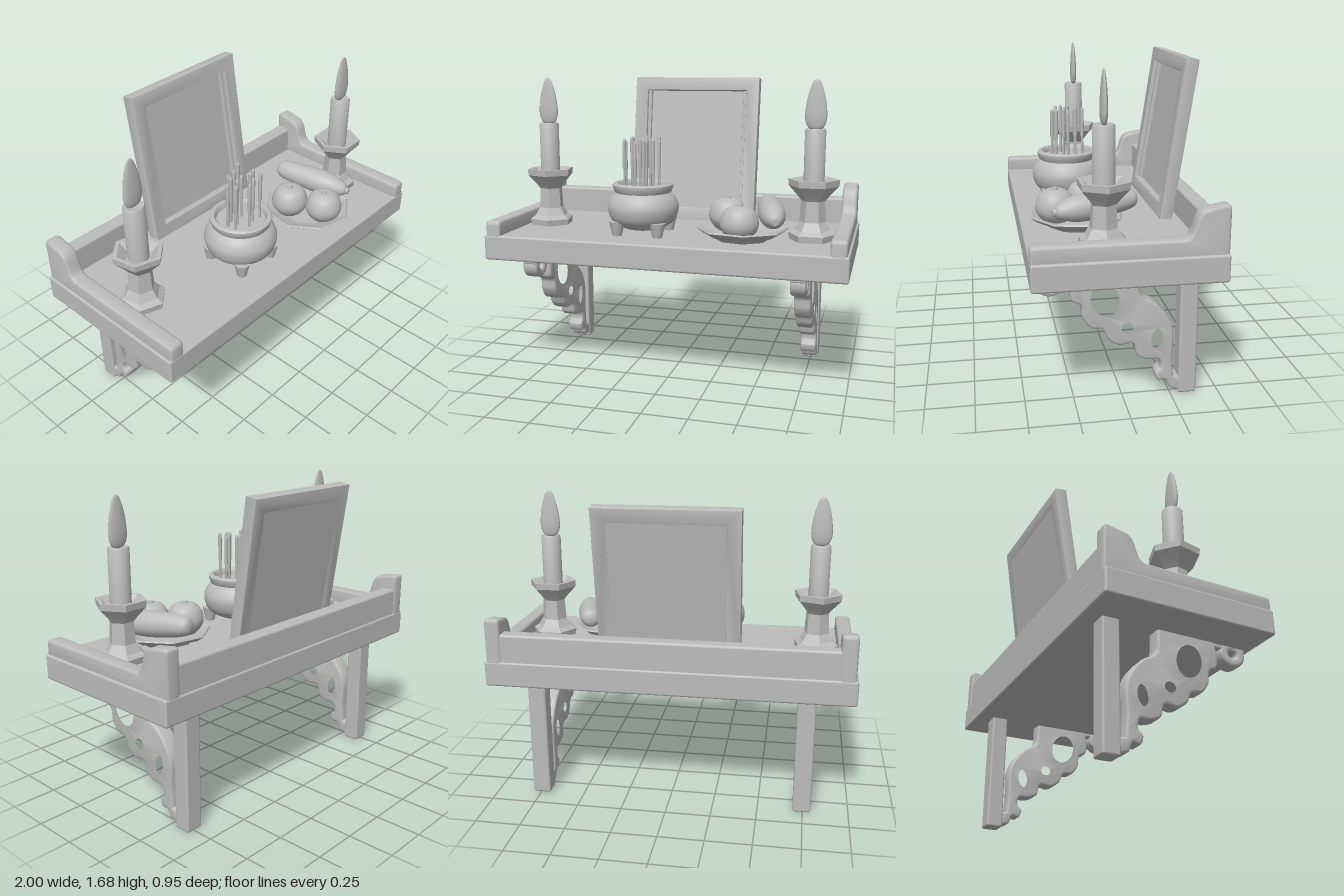
import * as THREE from 'three';
import { toCreasedNormals } from 'three/addons/utils/BufferGeometryUtils.js';
import { RoundedBoxGeometry } from 'three/addons/geometries/RoundedBoxGeometry.js';

const gray = new THREE.MeshStandardMaterial({ color: 0xbcbcbc });
gray.name = 'plain gray';

const V2 = ([x, y]) => new THREE.Vector2(x, y);

function add(parent, name, geo, x = 0, y = 0, z = 0) {
  const m = new THREE.Mesh(geo, gray);
  m.name = name;
  m.position.set(x, y, z);
  parent.add(m);
  return m;
}

function group(parent, name, x = 0, y = 0, z = 0) {
  const g = new THREE.Group();
  g.name = name;
  g.position.set(x, y, z);
  parent.add(g);
  return g;
}

const box = (w, h, d, r = 0.012) => new RoundedBoxGeometry(w, h, d, 2, r);
const lathe = (pts, seg = 32) => new THREE.LatheGeometry(pts.map(V2), seg);
const creased = (geo, a = 0.6) => toCreasedNormals(geo, a);
const smoothLathe = (pts, seg = 32) =>
  new THREE.LatheGeometry(new THREE.SplineCurve(pts.map(V2)).getPoints(30)
    .map(p => new THREE.Vector2(Math.max(p.x, 0), p.y)), seg);

// Extrudes a (z, y) outline along x, centred on x = 0, with softened edges
function sideExtrude(shape, width, bevel) {
  const g = new THREE.ExtrudeGeometry(shape, {
    depth: width - 2 * bevel, bevelEnabled: true, bevelThickness: bevel,
    bevelSize: bevel, bevelOffset: -bevel, bevelSegments: 3, curveSegments: 20 });
  g.translate(0, 0, -(width - 2 * bevel) / 2);
  g.rotateY(-Math.PI / 2);
  return creased(g, 0.7);
}

function ellipse(x, y, rx, ry, rot = 0) {
  return new THREE.Path().absellipse(x, y, rx, ry, 0, Math.PI * 2, true, rot);
}

function ring(w, h, border, depth) {
  const s = new THREE.Shape([[-w, 0], [w, 0], [w, h], [-w, h]].map(V2));
  const a = w - border, b = h - border;
  s.holes.push(new THREE.Path([[-a, border], [-a, b], [a, b], [a, border]].map(V2)));
  return creased(new THREE.ExtrudeGeometry(s, { depth: depth - 0.012, bevelEnabled: true,
    bevelThickness: 0.006, bevelSize: 0.006, bevelOffset: -0.006, bevelSegments: 2 }));
}

function addShelf(root) {
  const shelf = group(root, 'shelf');
  add(shelf, 'shelfBoard', box(2, 0.14, 0.95), 0, 0.75, 0);
  add(shelf, 'backRail', box(1.9, 0.18, 0.085, 0.015), 0, 0.885, -0.425);
  const s = new THREE.Shape();
  s.moveTo(0.473, 0.8);
  s.lineTo(0.473, 0.88);
  s.quadraticCurveTo(0.47, 0.9, 0.45, 0.9);
  s.lineTo(-0.25, 0.9);
  s.bezierCurveTo(-0.32, 0.91, -0.28, 1.04, -0.37, 1.045);
  s.lineTo(-0.45, 1.06);
  s.quadraticCurveTo(-0.473, 1.06, -0.473, 1.04);
  s.lineTo(-0.473, 0.8);
  const geo = sideExtrude(s, 0.085, 0.015);
  for (const side of [-1, 1]) add(shelf, 'sideRail', geo, side * 0.945, 0, 0);
}

function addBrackets(root) {
  // Pierced scroll with a scalloped lower edge
  const edge = [[0.265, 0.64], [0.262, 0.55], [0.215, 0.515], [0.205, 0.45], [0.165, 0.395],
    [0.105, 0.38], [0.075, 0.325], [0.02, 0.29], [-0.05, 0.292], [-0.075, 0.225], [-0.13, 0.2],
    [-0.185, 0.195], [-0.195, 0.15], [-0.17, 0.12], [-0.185, 0.075], [-0.225, 0.075],
    [-0.25, 0.03], [-0.31, 0.012]];
  const s = new THREE.Shape();
  s.moveTo(0.25, 0.7);
  s.lineTo(...edge[0]);
  s.splineThru(edge.slice(1).map(V2));
  s.lineTo(-0.31, 0.09);
  s.lineTo(-0.265, 0.1);
  s.splineThru([[-0.258, 0.2], [-0.26, 0.34], [-0.235, 0.42], [-0.17, 0.5], [-0.095, 0.55],
    [-0.08, 0.62]].map(V2));
  s.lineTo(-0.08, 0.7);
  s.holes.push(ellipse(0.094, 0.545, 0.085, 0.105, -0.3), ellipse(-0.02, 0.385, 0.045, 0.042),
    ellipse(-0.172, 0.316, 0.042, 0.068, 0.15));
  const scroll = sideExtrude(s, 0.09, 0.014);
  // Small curl at the front
  const c = new THREE.Shape().absellipse(0.365, 0.645, 0.075, 0.07, 0, Math.PI * 2);
  c.holes.push(ellipse(0.365, 0.643, 0.024, 0.022));
  const curl = sideExtrude(c, 0.085, 0.014);
  for (const side of [-1, 1]) {
    const b = group(root, 'bracket', side * 0.745);
    add(b, 'post', box(0.1, 0.7, 0.095), 0, 0.35, -0.337);
    add(b, 'scroll', scroll);
    add(b, 'curl', curl);
    add(b, 'curlLink', box(0.08, 0.05, 0.19, 0.01), 0, 0.684, 0.345);
  }
}

function addFrame(root) {
  const f = group(root, 'pictureFrame', 0, 0.818, -0.272);
  f.rotation.x = -0.148;
  add(f, 'frameBorder', ring(0.385, 0.87, 0.078, 0.07), 0, 0, -0.064);
  add(f, 'innerLip', ring(0.315, 0.8, 0.028, 0.04), 0, 0.035, -0.056);
  add(f, 'backPanel', new THREE.BoxGeometry(0.74, 0.84, 0.025), 0, 0.435, -0.055);
}

function addCandle(root, x, z, turn) {
  const c = group(root, 'candlestick', x, 0.82, z);
  const holder = lathe([[0, 0], [0.125, 0], [0.13, 0.035], [0.1, 0.055], [0.072, 0.1],
    [0.065, 0.215], [0.085, 0.24], [0.135, 0.295], [0.138, 0.33], [0.115, 0.33],
    [0.07, 0.29], [0, 0.285]], 6);
  add(c, 'holder', creased(holder, 0.3)).rotation.y = turn;
  add(c, 'candle', creased(lathe([[0, 0.27], [0.056, 0.27], [0.056, 0.59], [0.05, 0.6],
    [0.035, 0.598], [0, 0.59]], 24)));
  const flame = smoothLathe([[0, 0.59], [0.04, 0.605], [0.058, 0.66], [0.047, 0.76],
    [0.022, 0.84], [0, 0.86]], 16);
  flame.scale(1, 1, 0.32);
  add(c, 'flame', flame);
}

function addCenser(root) {
  const g = group(root, 'incenseBurner', -0.165, 0, 0.165);
  add(g, 'bowl', smoothLathe([[0, 0.84], [0.1, 0.85], [0.175, 0.895], [0.2, 0.965],
    [0.185, 1.02], [0.155, 1.055]], 36));
  add(g, 'rim', creased(lathe([[0.152, 1.05], [0.162, 1.062], [0.165, 1.075], [0.17, 1.085],
    [0.17, 1.098], [0.16, 1.106], [0.145, 1.106], [0.136, 1.095], [0.133, 1.075], [0, 1.08]], 36)));
  for (let i = 0; i < 4; i++) {
    const a = Math.PI / 4 + i * Math.PI / 2;
    const foot = add(g, 'foot', creased(new THREE.CylinderGeometry(0.045, 0.026, 0.08, 12)),
      Math.sin(a) * 0.165, 0.86, Math.cos(a) * 0.165);
    foot.rotation.y = a;
  }
  const spots = [[-0.1, 0], [-0.092, 0.05], [-0.055, 0.025], [-0.035, -0.055], [0.005, -0.055],
    [0.015, -0.01], [0.025, 0.065], [0.07, -0.085], [0.095, 0], [0.08, 0.065], [-0.02, 0.08],
    [0.05, 0.02], [-0.06, -0.015]];
  const stick = lathe([[0, 0], [0.007, 0], [0.007, 0.11], [0.0105, 0.12], [0.0105, 0.265],
    [0.006, 0.28], [0, 0.282]], 8);
  spots.forEach(([x, z], i) => add(g, 'incenseStick', stick, x, 1.06 + (i * 7 % 5) * 0.005, z));
}

function addFruitPlate(root) {
  const g = group(root, 'fruitPlate', 0.405, 0.82, 0.18);
  add(g, 'plate', creased(lathe([[0, 0], [0.15, 0], [0.165, 0.015], [0.215, 0.032], [0.255, 0.06],
    [0.25, 0.068], [0.205, 0.048], [0.15, 0.03], [0, 0.028]], 8), 0.3)).rotation.y = 0.2;
  const round = smoothLathe([[0, 0.015], [0.05, 0.012], [0.095, 0.06], [0.103, 0.11],
    [0.08, 0.165], [0.035, 0.19], [0, 0.18]], 28);
  for (const [x, z, h] of [[-0.093, -0.06, 0.022], [0.005, 0.115, 0.01]]) {
    add(g, 'roundFruit', round, x, h, z);
    add(g, 'fruitStem', new THREE.CylinderGeometry(0.014, 0.02, 0.02, 6), x, h + 0.188, z);
  }
  // Long fruit leaning across the plate
  const long = group(g, 'longFruit', 0.087, 0.162, -0.298);
  long.rotation.set(Math.PI / 2 + 0.08, 0, -0.25);
  add(long, 'longFruitBody', smoothLathe([[0, 0], [0.04, 0.012], [0.058, 0.06], [0.066, 0.15],
    [0.073, 0.26], [0.066, 0.35], [0.042, 0.42], [0.025, 0.445], [0, 0.45]], 24));
  add(long, 'longFruitStem', new THREE.CylinderGeometry(0.018, 0.022, 0.025, 8), 0, 0.45, 0);
}

export function createModel() {
  const root = new THREE.Group();
  root.name = 'altarShelf';
  addShelf(root);
  addBrackets(root);
  addFrame(root);
  addCandle(root, -0.783, 0.04, 0.2);
  addCandle(root, 0.775, 0.1, 0.55);
  addCenser(root);
  addFruitPlate(root);
  return root;
}
